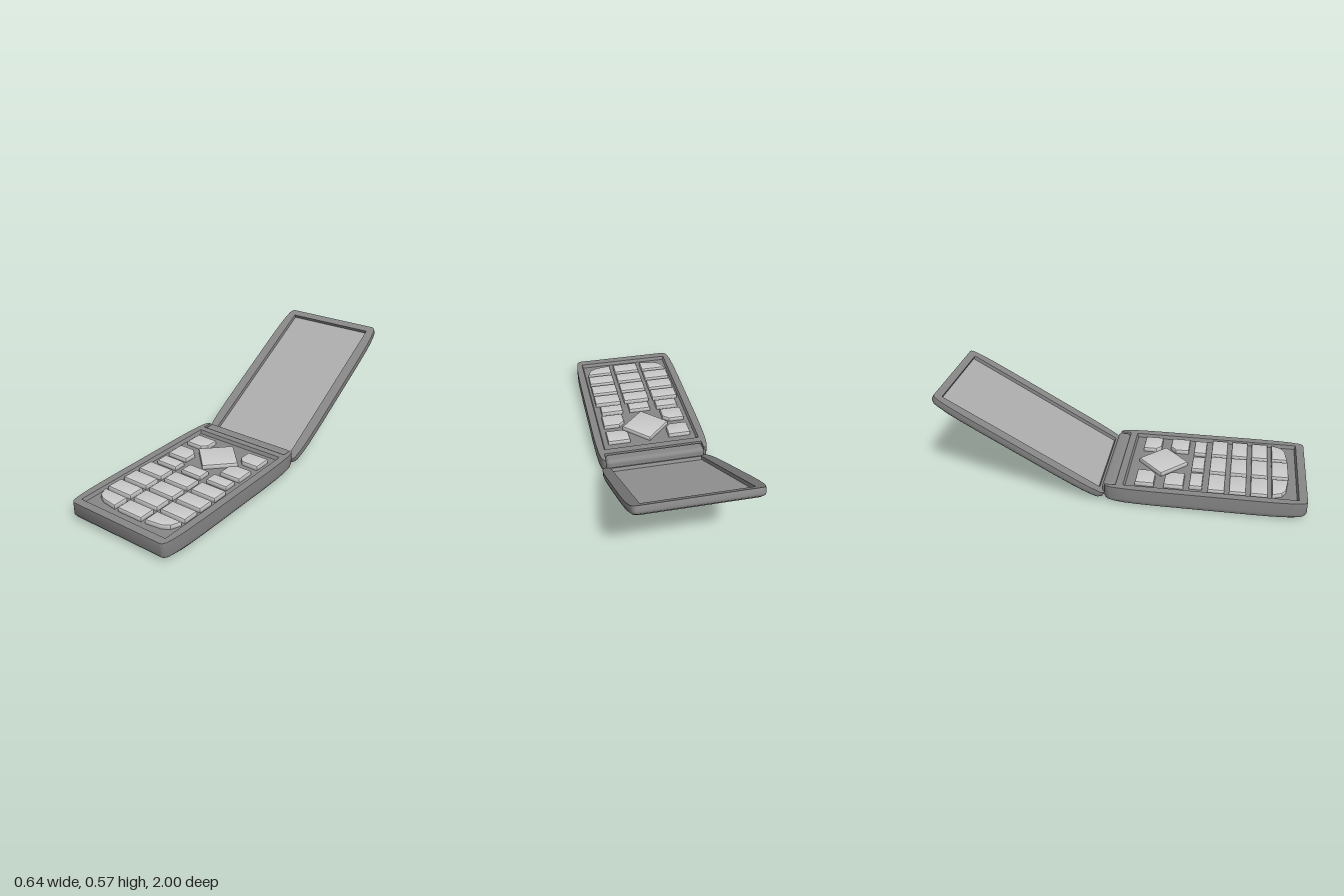
import * as THREE from 'three';
import { toCreasedNormals } from 'three/addons/utils/BufferGeometryUtils.js';
import { RoundedBoxGeometry } from 'three/addons/geometries/RoundedBoxGeometry.js';

const shellMaterial = new THREE.MeshStandardMaterial({ color: 0x888888 });
const screenMaterial = new THREE.MeshStandardMaterial({ color: 0xadadad });
const keyMaterial = new THREE.MeshStandardMaterial({ color: 0xcccccc });

function addMesh(parent, name, geometry, material) {
  const mesh = new THREE.Mesh(geometry, material);
  mesh.name = name;
  parent.add(mesh);
  return mesh;
}

// One quadrant of the case outline: [half width, distance from the end]
const CORNER = [[0.283, 0], [0.292, 0.003], [0.301, 0.012], [0.307, 0.028],
  [0.314, 0.08], [0.318, 0.15], [0.32, 0.27]];

// Counter-clockwise outline seen from above; points are (x, -z)
function caseOutline(half, notch) {
  const quadrant = (sx, sy) => CORNER.map(([x, d]) => new THREE.Vector2(sx * x, sy * (half - d)));
  const gap = notch ? [0.283, -0.283].map(x => new THREE.Vector2(x, half - notch)) : [];
  return [...quadrant(1, 1).reverse(), ...gap, ...quadrant(-1, 1),
    ...quadrant(-1, -1).reverse(), ...quadrant(1, -1)];
}

function rectangle(w, h, offsetZ) {
  return [[-w, -h], [w, -h], [w, h], [-w, h]].map(([x, y]) => new THREE.Vector2(x, y - offsetZ));
}

// Hollow-topped case: stacked outlines [y, x inset, z inset], a flat rim and recess walls
function caseGeometry(half, notch, layers, recess) {
  const pos = [];
  const put = (p, y) => pos.push(p.x, y, -p.y);
  const wall = (r0, y0, r1, y1) => r0.forEach((a, i) => {
    const j = (i + 1) % r0.length;
    put(a, y0); put(r0[j], y0); put(r1[j], y1);
    put(a, y0); put(r1[j], y1); put(r1[i], y1);
  });
  const cap = (ring, holes, y, flip) => {
    const all = [ring, ...holes].flat();
    for (const f of THREE.ShapeUtils.triangulateShape(ring, holes)) {
      for (const k of flip ? [...f].reverse() : f) put(all[k], y);
    }
  };
  const outline = caseOutline(half, notch);
  const rings = layers.map(([, dx, dz]) =>
    outline.map(p => new THREE.Vector2(p.x * (1 - dx / 0.32), p.y * (1 - dz / half))));
  for (let i = 0; i + 1 < layers.length; i++) {
    wall(rings[i], layers[i][0], rings[i + 1], layers[i + 1][0]);
  }
  cap(rings[0], [], layers[0][0], true);
  const { w, h, offset, slope, depth } = recess;
  const top = layers[layers.length - 1][0];
  const mouth = rectangle(w, h, offset);
  cap(rings[rings.length - 1], [mouth], top, false);
  wall(mouth, top, rectangle(w - slope, h - slope, offset), top - depth);
  const geometry = new THREE.BufferGeometry();
  geometry.setAttribute('position', new THREE.Float32BufferAttribute(pos, 3));
  return toCreasedNormals(geometry, 0.8);
}

function addCase(parent, names, floorMaterial, half, notch, layers, recess) {
  addMesh(parent, names[0], caseGeometry(half, notch, layers, recess), shellMaterial);
  const { w, h, offset, slope, depth } = recess;
  const floor = addMesh(parent, names[1],
    new THREE.PlaneGeometry(2 * (w - slope), 2 * (h - slope)).rotateX(-Math.PI / 2), floorMaterial);
  floor.position.set(0, layers[layers.length - 1][0] - depth, offset);
}

// Bevelled key from a plan of [x, z] corners
function addKey(parent, name, plan) {
  const shape = new THREE.Shape(plan.map(([x, z]) => new THREE.Vector2(x, -z)));
  const geometry = new THREE.ExtrudeGeometry(shape, {
    depth: 0.02, bevelThickness: 0.006, bevelSize: 0.007, bevelOffset: -0.007, bevelSegments: 2,
  }).rotateX(-Math.PI / 2);
  addMesh(parent, name, toCreasedNormals(geometry, 0.5), keyMaterial).position.y = 0.084;
}

const box = (x0, x1, z0, z1) => [[x0, z0], [x1, z0], [x1, z1], [x0, z1]];

export function createModel() {
  const model = new THREE.Group();
  model.name = 'flipPhone';

  // Lower half with the keypad tray
  const base = new THREE.Group();
  base.name = 'base';
  base.position.z = 0.46;
  addCase(base, ['baseCase', 'keypadTray'], shellMaterial, 0.54, 0.06,
    [[0, 0.035, 0.22], [0.004, 0.017, 0.11], [0.01, 0.008, 0.04], [0.02, 0.002, 0.01],
      [0.035, 0, 0], [0.105, 0, 0]],
    { w: 0.278, h: 0.468, offset: 0.0275, slope: 0.008, depth: 0.02 });
  model.add(base);

  // Upper half with the display, tilted open
  const lid = new THREE.Group();
  lid.name = 'lid';
  lid.position.set(0, 0.3115, -0.532);
  lid.rotation.x = Math.PI / 6;
  addCase(lid, ['lidCase', 'screen'], screenMaterial, 0.523, 0,
    [[-0.057, 0.05, 0.2], [-0.055, 0.028, 0.1], [-0.05, 0.013, 0.036], [-0.04, 0.004, 0.01],
      [-0.027, 0, 0], [0, 0, 0]],
    { w: 0.262, h: 0.4855, offset: 0.0025, slope: 0.001, depth: 0.02 });
  model.add(lid);

  // Hinge bar in the notch of the base
  addMesh(model, 'hinge', new RoundedBoxGeometry(0.566, 0.072, 0.073, 4, 0.022), shellMaterial)
    .position.set(0, 0.068, -0.058);

  // Keys
  const keys = new THREE.Group();
  keys.name = 'keypad';
  model.add(keys);
  addKey(keys, 'navigationKey', [[0, 0.072], [0.137, 0.21], [0, 0.347], [-0.137, 0.21]]);

  for (const side of [-1, 1]) {
    const mirror = plan => plan.map(([x, z]) => [side * x, z]);
    addKey(keys, 'softKey',
      mirror([[0.115, 0.08], [0.243, 0.08], [0.243, 0.182], [0.143, 0.182], [0.115, 0.153]]));
    addKey(keys, 'callKey',
      mirror([[0.152, 0.236], [0.243, 0.236], [0.243, 0.342], [0.118, 0.342], [0.118, 0.268]]));
    addKey(keys, 'functionKey', mirror(box(0.105, 0.235, 0.373, 0.443)));
    addKey(keys, 'bottomKey',
      mirror([[0.102, 0.815], [0.254, 0.815], [0.232, 0.868], [0.195, 0.89], [0.102, 0.903]]));
  }
  addKey(keys, 'functionKey', box(-0.063, 0.063, 0.373, 0.443));
  addKey(keys, 'bottomKey', box(-0.077, 0.077, 0.815, 0.905));

  for (let row = 0; row < 3; row++) {
    for (let col = -1; col <= 1; col++) {
      const x = col * 0.179, z = 0.474 + row * 0.114;
      addKey(keys, 'numberKey', box(x - 0.077, x + 0.077, z, z + 0.09));
    }
  }
  return model;
}
